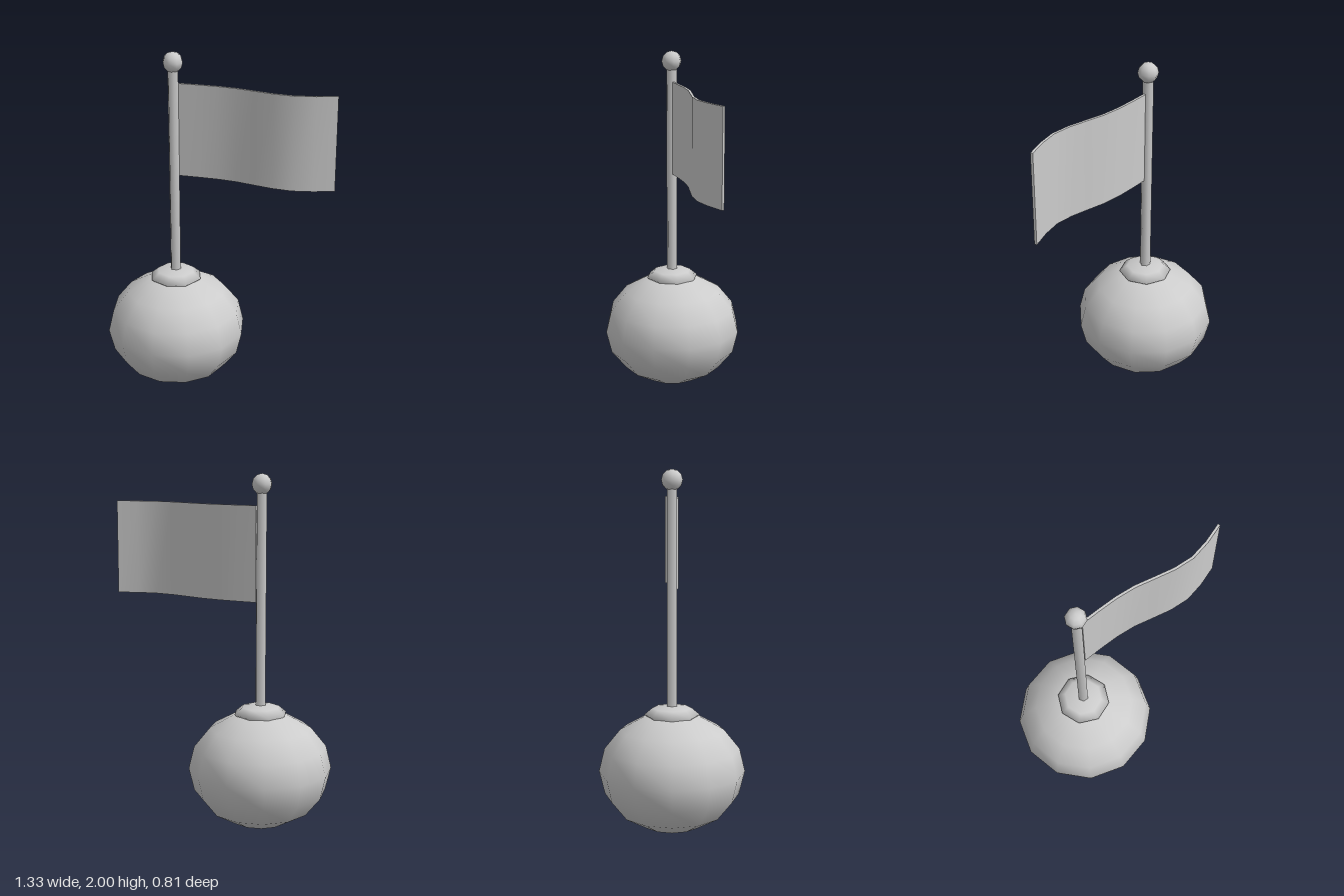
import * as THREE from 'three';

const grey = new THREE.MeshStandardMaterial({ color: 0xcccccc });
grey.name = 'light grey';

const POLE_X = -0.26;

function addPart(group, name, geometry, x, y) {
  const mesh = new THREE.Mesh(geometry, grey);
  mesh.name = name;
  mesh.position.set(x, y, 0);
  group.add(mesh);
  return mesh;
}

// Low-sided ball, squashed to the given height
function squashedBall(radius, halfHeight, sides, rings) {
  return new THREE.SphereGeometry(radius, sides, rings).scale(1, halfHeight / radius, 1);
}

// Thin rippling cloth: a box whose vertices follow a wavy centre line
function flagGeometry(length, height, thickness) {
  const wave = [-0.003, -0.01, -0.014, -0.008, 0.012, 0.031, 0.034, 0.007, -0.036];
  const last = wave.length - 1;
  const step = length / last;
  const geo = new THREE.BoxGeometry(length, height, thickness, last, 1, 1);
  const pos = geo.attributes.position;
  for (let i = 0; i < pos.count; i++) {
    const k = Math.round((pos.getX(i) + length / 2) / step);
    const a = Math.max(k - 1, 0);
    const b = Math.min(k + 1, last);
    const angle = Math.atan2(wave[b] - wave[a], (b - a) * step);
    const offset = pos.getZ(i);
    pos.setX(i, pos.getX(i) - Math.sin(angle) * offset);
    pos.setZ(i, wave[k] + Math.cos(angle) * offset);
  }
  geo.computeVertexNormals();
  return geo;
}

export function createModel() {
  const group = new THREE.Group();
  group.name = 'flagOnBall';

  // Base ball and the collar on top of it
  addPart(group, 'baseBall', squashedBall(0.406, 0.335, 12, 8), POLE_X, 0.338);
  addPart(group, 'collar', squashedBall(0.153, 0.053, 8, 4), POLE_X, 0.66);

  // Six-sided pole with a round finial
  const pole = addPart(group, 'pole', new THREE.CylinderGeometry(0.031, 0.031, 1.27, 6), POLE_X, 1.275);
  pole.rotation.y = Math.PI / 6;
  addPart(group, 'finial', new THREE.SphereGeometry(0.058, 8, 6), POLE_X, 1.942);

  // Flag
  addPart(group, 'flag', flagGeometry(0.888, 0.535, 0.014), 0.216, 1.5575);

  return group;
}
